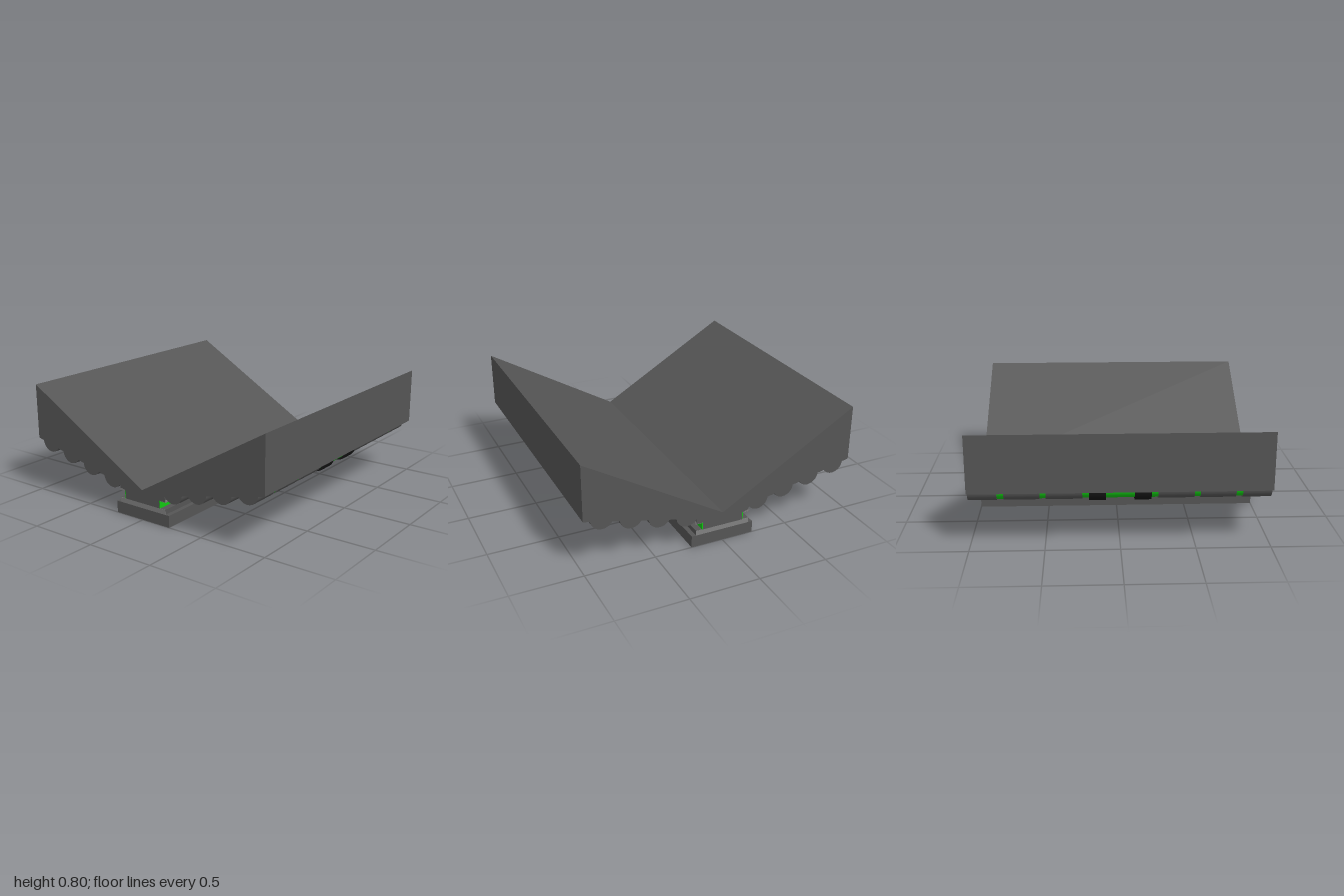
import * as THREE from 'three';

export function createModel() {
  const group = new THREE.Group();
  const mat = (color) => new THREE.MeshStandardMaterial({ color });
  const grey = mat(0x555555), light = mat(0x808080), black = mat(0x161616), green = mat(0x12c812);

  const add = (name, geometry, material, x, y, z) => {
    const mesh = new THREE.Mesh(geometry, material);
    mesh.name = name;
    mesh.position.set(x, y, z);
    group.add(mesh);
    return mesh;
  };
  // Box given by its y range
  const slab = (name, width, y0, y1, depth, material, x = 0, z = 0) =>
    add(name, new THREE.BoxGeometry(width, y1 - y0, depth), material, x, (y0 + y1) / 2, z);
  // Roller section lying along x
  const roller = (name, x0, x1, r, material, y, z) => {
    const g = new THREE.CylinderGeometry(r, r, x1 - x0, 32).rotateZ(Math.PI / 2);
    add(name, g, material, (x0 + x1) / 2, y, z);
  };

  // V-shaped body, extruded along x
  const half = [[0.995, 0.8], [0.995, 0.4], [0.95, 0.39], [0.2, 0.215], [0.2, 0.175]];
  const outline = [[0, 0.215], ...half, ...half.map(([z, y]) => [-z, y]).reverse()];
  const shape = new THREE.Shape(outline.map(([z, y]) => new THREE.Vector2(z, y)));
  const bodyGeometry = new THREE.ExtrudeGeometry(shape, { depth: 2, bevelEnabled: false });
  bodyGeometry.translate(0, 0, -1).rotateY(-Math.PI / 2);
  add('body', bodyGeometry, grey, 0, 0, 0);

  // Stepped foot and neck
  slab('base', 2, 0, 0.085, 0.465, grey);
  slab('basePlate', 1.996, 0.085, 0.12, 0.4, grey);
  slab('neck', 2, 0.12, 0.18, 0.302, grey);
  for (const s of [-1, 1]) {
    slab('plateEnd', 0.004, 0.085, 0.12, 0.4, light, s * 0.998);
    slab('glowStrip', 2, 0.12, 0.176, 0.006, green, 0, s * 0.153);
    slab('upperTrim', 2, 0.172, 0.188, 0.05, light, 0, s * 0.18);
  }

  // Four rollers under each wing; glowing core shows through the gaps
  const segments = [[0.25, 0.49], [0.53, 0.765], [0.81, 1]];
  for (const s of [-1, 1]) {
    for (let i = 0; i < 4; i++) {
      const z = s * (0.267 + i * 0.2), y = 0.257 + i * 0.0465;
      roller('rollerCore', -0.99, 0.99, 0.074, green, y, z);
      for (const m of [-1, 1]) {
        for (const [a, b] of segments) {
          roller('rollerSleeve', Math.min(m * a, m * b), Math.max(m * a, m * b), 0.08, grey, y, z);
        }
        roller('rollerBand', m * 0.15 - 0.055, m * 0.15 + 0.055, 0.09, black, y, z);
      }
    }
  }
  return group;
}
